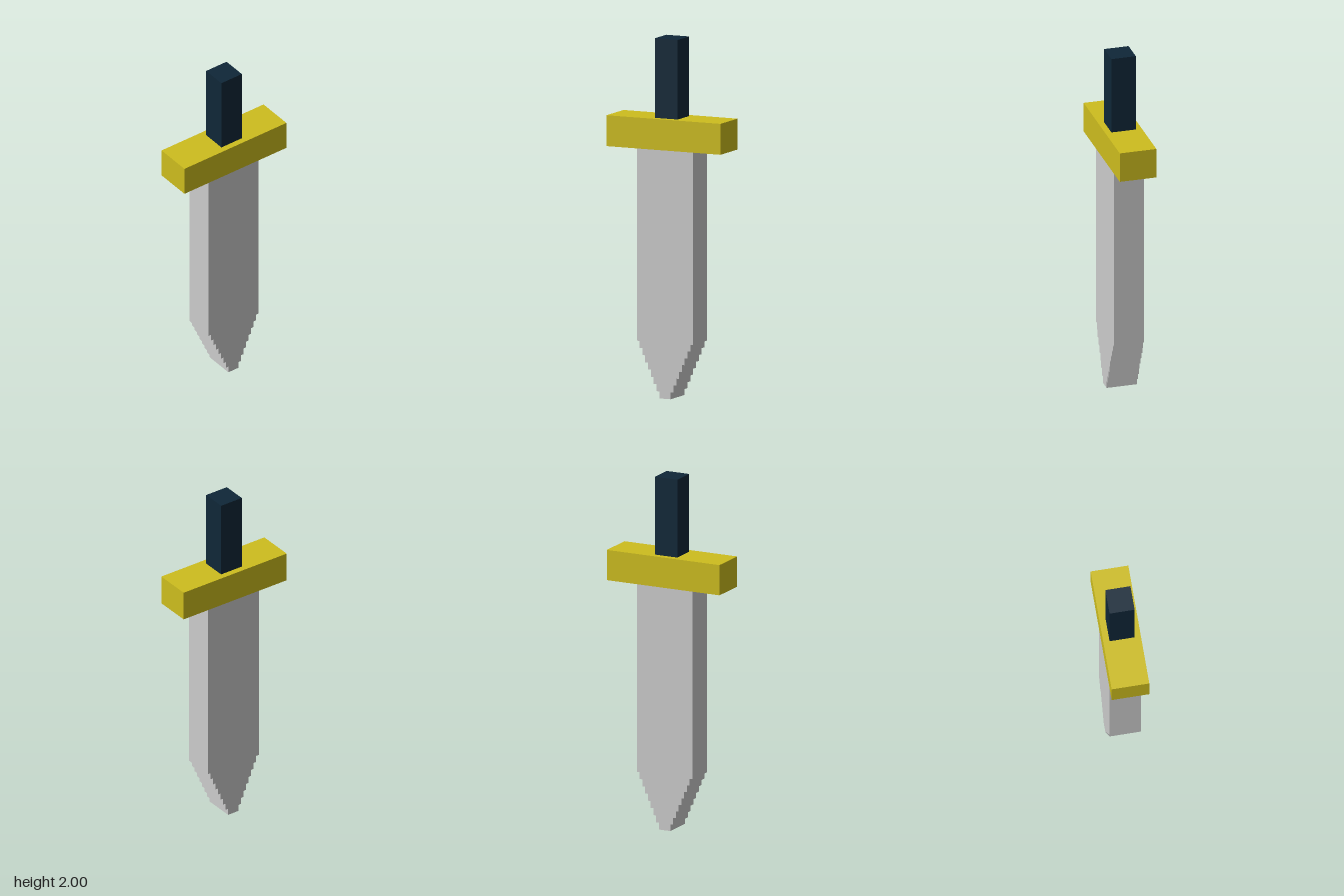
import * as THREE from 'three';

const STEPS = 8;
const STEP_HEIGHT = 0.039;
const TIP_HALF = 0.035;
const BLADE_HALF = 0.173;
const BLADE_DEPTH = 0.174;
const BLADE_TOP = 1.385;
const GUARD_TOP = 1.557;

function material(color) {
  return new THREE.MeshStandardMaterial({ color, flatShading: true });
}

// Box standing between two heights, centred on the vertical axis
function block(name, width, depth, bottom, top, color) {
  const mesh = new THREE.Mesh(new THREE.BoxGeometry(width, top - bottom, depth), material(color));
  mesh.position.y = (bottom + top) / 2;
  mesh.name = name;
  return mesh;
}

// Blade outline: a staircase widening from the tip, then straight up to the guard
function bladeShape() {
  const right = [];
  for (let i = 0; i <= STEPS; i++) {
    const half = THREE.MathUtils.lerp(TIP_HALF, BLADE_HALF, i / STEPS);
    const top = i < STEPS ? (i + 1) * STEP_HEIGHT : BLADE_TOP;
    right.push(new THREE.Vector2(half, i * STEP_HEIGHT), new THREE.Vector2(half, top));
  }
  const left = right.map((p) => new THREE.Vector2(-p.x, p.y)).reverse();
  return new THREE.Shape([...right, ...left]);
}

export function createModel() {
  const model = new THREE.Group();
  model.name = 'sword';

  // Blade, pointing down
  const geometry = new THREE.ExtrudeGeometry(bladeShape(), { depth: BLADE_DEPTH, bevelEnabled: false });
  geometry.translate(0, 0, -BLADE_DEPTH / 2);
  const blade = new THREE.Mesh(geometry, material(0xcccccc));
  blade.name = 'blade';

  // Crossguard and grip
  const guard = block('crossguard', 0.7, 0.21, BLADE_TOP, GUARD_TOP, 0xcdbd1e);
  const grip = block('grip', 0.14, 0.14, GUARD_TOP, 2, 0x0f2738);

  model.add(blade, guard, grip);
  return model;
}
